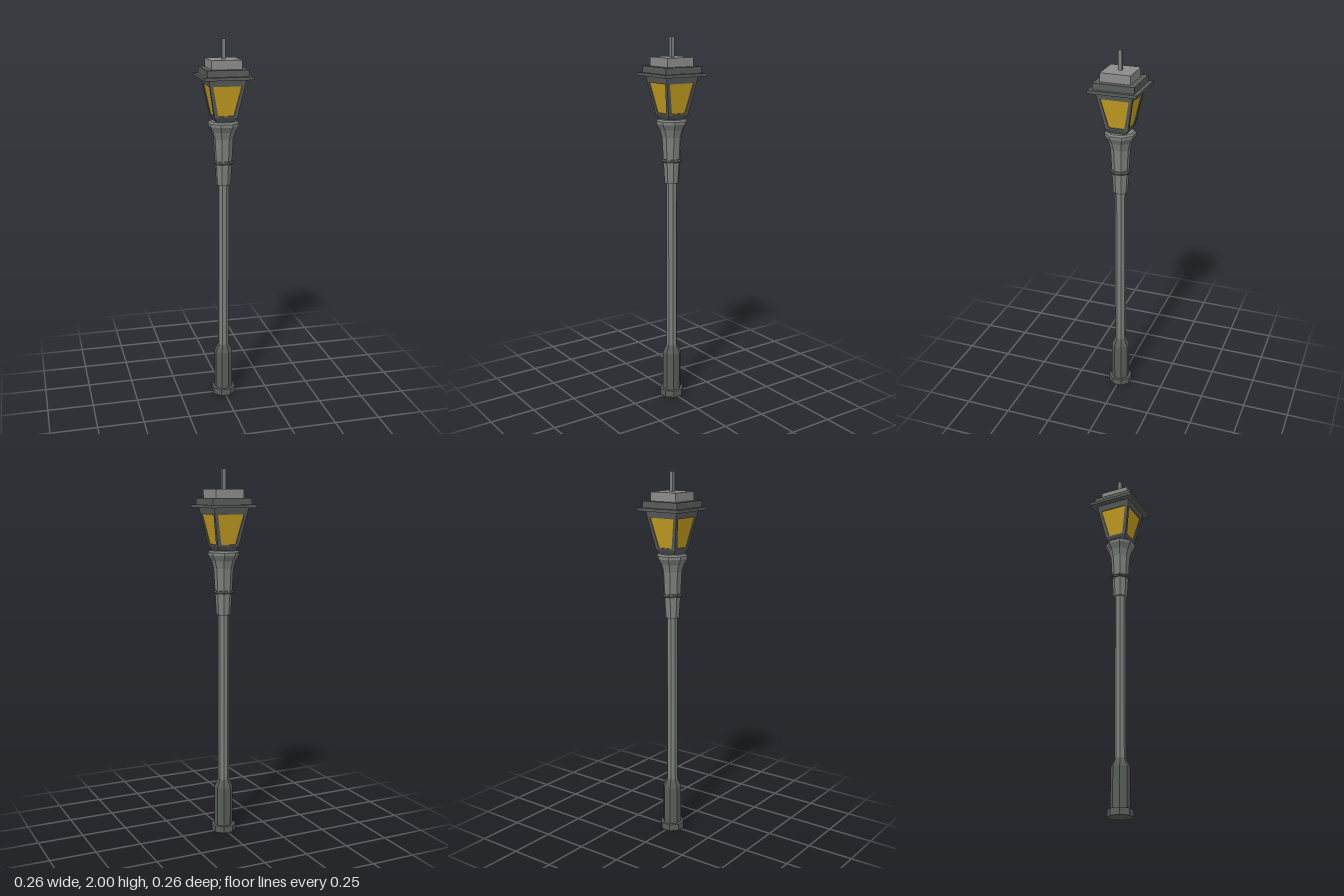
import * as THREE from 'three';

const material = (name, color) => {
  const m = new THREE.MeshStandardMaterial({ color });
  m.name = name;
  return m;
};

// Faceted normals for a low-poly look
function faceted(geometry) {
  const g = geometry.index ? geometry.toNonIndexed() : geometry;
  g.computeVertexNormals();
  return g;
}

export function createModel() {
  const group = new THREE.Group();
  const darkIron = material('dark iron', 0x585c5a);
  const greyIron = material('grey iron', 0x7b807d);
  const paleMetal = material('pale metal', 0x8c8c8a);
  const amber = material('amber glass', 0xc8a020);

  const add = (name, geometry, mat, parent = group) => {
    const mesh = new THREE.Mesh(faceted(geometry), mat);
    mesh.name = name;
    parent.add(mesh);
    return mesh;
  };

  // Octagonal turning; profile pairs are [half width across flats, height]
  const octagon = (name, profile, mat) => {
    const points = profile.map(([r, y]) => new THREE.Vector2(r / Math.cos(Math.PI / 8), y));
    return add(name, new THREE.LatheGeometry(points, 8, Math.PI / 8), mat);
  };

  // Square block or taper between two heights
  const square = (name, bottom, top, y0, y1, mat) => {
    const g = new THREE.CylinderGeometry(top * Math.SQRT2, bottom * Math.SQRT2, y1 - y0, 4);
    g.rotateY(Math.PI / 4);
    g.translate(0, (y0 + y1) / 2, 0);
    return add(name, g, mat);
  };

  // Post
  octagon('foot', [[0, 0], [0.062, 0], [0.062, 0.037], [0, 0.037]], darkIron);
  octagon('base', [[0.047, 0.03], [0.047, 0.255], [0.028, 0.3], [0, 0.3]], darkIron);
  octagon('pole', [[0.028, 0.29], [0.028, 1.24]], greyIron);
  octagon('capital', [
    [0, 1.23], [0.036, 1.23], [0.043, 1.36], [0.049, 1.48], [0.06, 1.52],
    [0.077, 1.55], [0.077, 1.565], [0.068, 1.575], [0, 1.575],
  ], greyIron);
  octagon('collarRing', [
    [0.04, 1.343], [0.049, 1.343], [0.053, 1.352], [0.049, 1.361], [0.04, 1.361],
  ], darkIron);

  // Lantern
  square('lanternFloor', 0.046, 0.062, 1.574, 1.6, darkIron);

  const y0 = 1.6, y1 = 1.802, low = 0.062, high = 0.1;
  const tilt = Math.atan2(high - low, y1 - y0);
  const slope = Math.hypot(high - low, y1 - y0);
  const pane = [[-0.039, 0.007], [0.039, 0.007], [0.043, 0.012], [0.076, 0.168], [-0.076, 0.168], [-0.043, 0.012]]
    .map(([x, y]) => new THREE.Vector2(x, y));
  const place = (g, depth) => g.translate(0, 0, depth).rotateX(tilt).translate(0, y0, low);

  for (let i = 0; i < 4; i++) {
    const side = new THREE.Group();
    side.name = 'lanternSide' + (i + 1);
    side.rotation.y = i * Math.PI / 2;
    group.add(side);

    // Tapered frame with an opening, and a pane set back inside it
    const frame = new THREE.Shape([
      new THREE.Vector2(-low, 0), new THREE.Vector2(low, 0),
      new THREE.Vector2(high, slope), new THREE.Vector2(-high, slope),
    ]);
    frame.holes.push(new THREE.Path(pane));
    add('windowFrame', place(new THREE.ExtrudeGeometry(frame, { depth: 0.01, bevelEnabled: false }), -0.01), darkIron, side);
    add('windowPane', place(new THREE.ExtrudeGeometry(new THREE.Shape(pane), { depth: 0.004, bevelEnabled: false }), -0.009), amber, side);
  }

  // Stepped roof and finial
  square('roofBrim', 0.131, 0.131, 1.8, 1.816, darkIron);
  square('roofStep', 0.111, 0.111, 1.816, 1.85, darkIron);
  square('roofCap', 0.081, 0.081, 1.85, 1.897, paleMetal);
  square('finial', 0.01, 0.01, 1.897, 2, greyIron);

  return group;
}
